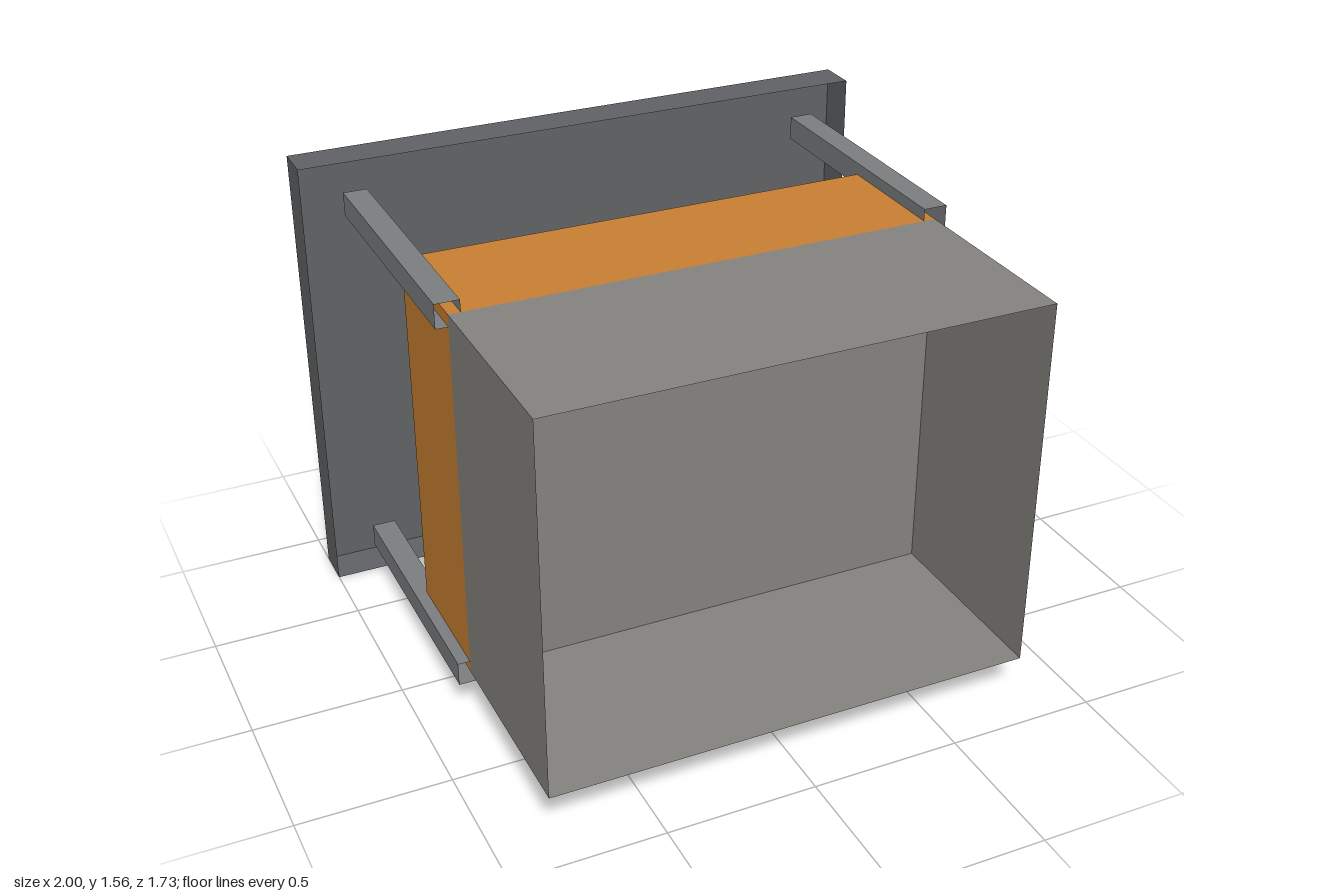
import * as THREE from 'three';

// Thin-walled box, open at the front (+z) and optionally at the back too
function shell(name, color, [x0, x1], [y0, y1], [z0, z1], closedBack = true) {
  const geometry = new THREE.BoxGeometry(x1 - x0, y1 - y0, z1 - z0);
  const index = Array.from(geometry.index.array);
  const sides = index.slice(0, 24);
  const back = index.slice(30, 36);
  geometry.setIndex(closedBack ? [...sides, ...back] : sides);
  geometry.clearGroups();
  const material = new THREE.MeshStandardMaterial({ color, side: THREE.DoubleSide });
  const mesh = new THREE.Mesh(geometry, material);
  mesh.name = name;
  mesh.position.set((x0 + x1) / 2, (y0 + y1) / 2, (z0 + z1) / 2);
  return mesh;
}

export function createModel() {
  const model = new THREE.Group();
  model.name = 'openHousing';

  // Front housing with a closed rear panel
  model.add(shell('housing', 0x85837f, [-0.82, 0.82], [0.142, 1.418], [0.183, 0.865]));

  // Orange sleeve continuing the housing walls, open at both ends
  model.add(shell('sleeve', 0xc98032, [-0.82, 0.82], [0.142, 1.418], [-0.25, 0.183], false));

  // Shallow tray at the rear
  model.add(shell('backTray', 0x606265, [-1, 1], [0, 1.56], [-0.865, -0.73]));

  // Four hollow rails along the sleeve corners
  const rails = new THREE.Group();
  rails.name = 'rails';
  const half = 0.04;
  for (const [side, x] of [['left', 0.82], ['right', -0.82]]) {
    for (const [level, y] of [['Upper', 1.418], ['Lower', 0.142]]) {
      rails.add(shell(`${side}${level}Rail`, 0x7b7d80,
        [x - half, x + half], [y - half, y + half], [-0.73, 0.183]));
    }
  }
  model.add(rails);

  return model;
}
